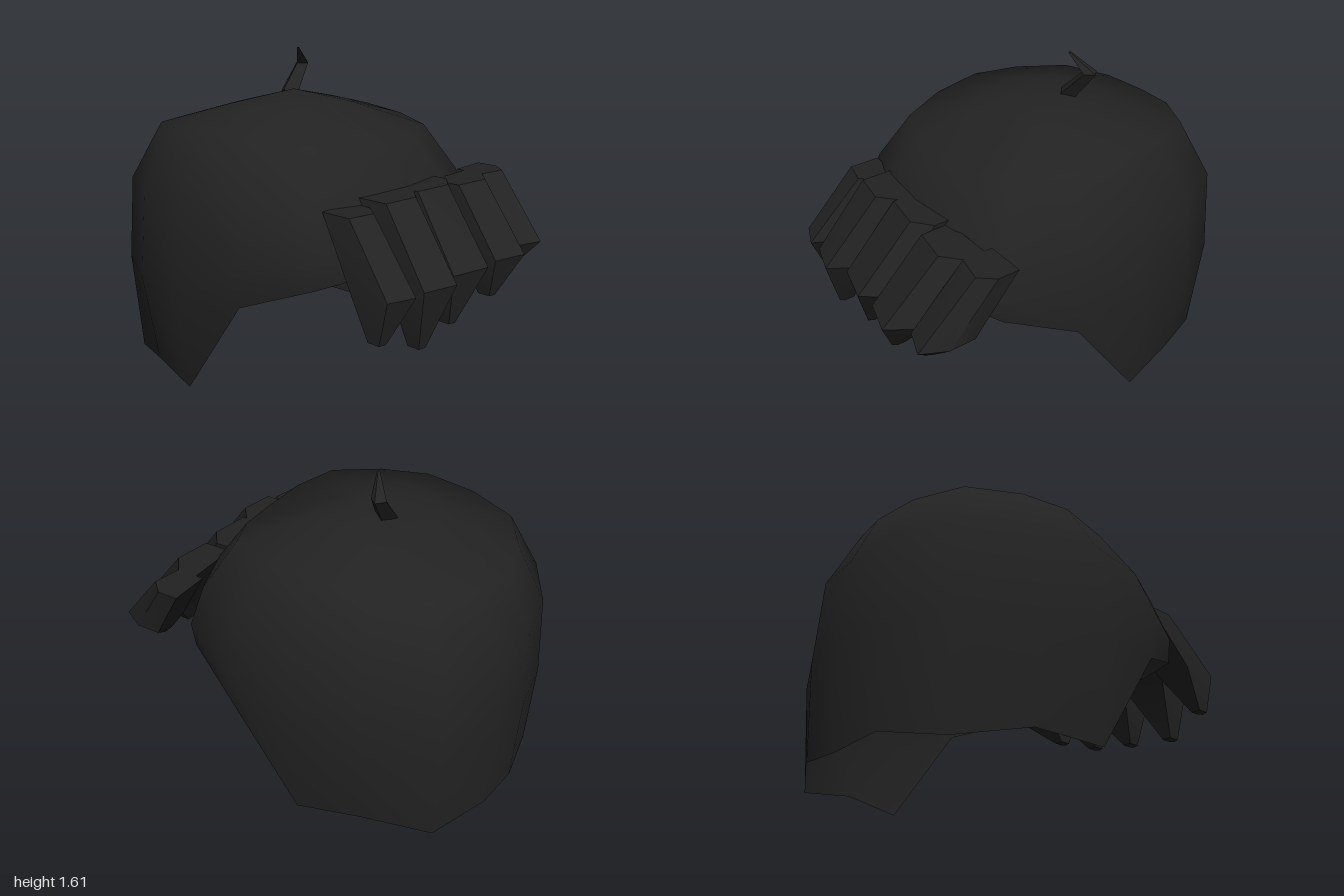
import * as THREE from 'three';
import { mergeVertices, toCreasedNormals } from 'three/addons/utils/BufferGeometryUtils.js';

// Joins closed rings of [x, y, z] points, listed top to bottom, counterclockwise from above
function loft(rings, capped) {
  const n = rings[0].length, index = [];
  for (let r = 0; r < rings.length - 1; r++) {
    for (let k = 0; k < n; k++) {
      const a = r * n + k, b = r * n + (k + 1) % n;
      index.push(a, a + n, b + n, a, b + n, b);
    }
  }
  if (capped) {
    const e = (rings.length - 1) * n;
    for (let k = 1; k < n - 1; k++) {
      index.push(0, k, k + 1, e, e + k + 1, e + k);
    }
  }
  const g = new THREE.BufferGeometry();
  g.setAttribute('position', new THREE.Float32BufferAttribute(rings.flat(2), 3));
  g.setIndex(index);
  return g;
}

// Mirrors a half outline, back to front, into a full ring
function mirrorRing(half) {
  const first = half.map(([x, y, z]) => [-x, y, z]);
  return [...first, ...half.slice(1, -1).reverse()];
}

export function createModel() {
  const hair = new THREE.MeshStandardMaterial({ color: 0x222222, side: THREE.DoubleSide });
  hair.name = 'black hair';
  const group = new THREE.Group();
  group.name = 'hair';
  const add = (name, geometry) => {
    const mesh = new THREE.Mesh(geometry, hair);
    mesh.name = name;
    group.add(mesh);
  };

  // Cap: widest outline and lower edge, from the back centre to the front centre
  const wide = [[0, 0.52, -1], [0.28, 0.52, -0.97], [0.57, 0.52, -0.83], [0.74, 0.52, -0.51],
    [0.8, 0.52, -0.16], [0.75, 0.72, 0.2], [0.6, 0.8, 0.53], [0.32, 0.85, 0.65], [0, 0.86, 0.69]];
  const hem = [[0, 0.02, -0.98], [0.27, 0.05, -0.95], [0.54, 0, -0.8], [0.68, 0.07, -0.48],
    [0.75, 0.04, -0.16], [0.74, 0.55, 0.2], [0.59, 0.67, 0.52], [0.32, 0.72, 0.67], [0, 0.73, 0.71]];
  const centre = -0.16;
  // Scaled copy of the widest outline; sizes and heights run back, side, front
  const scaled = (sizes, heights) => wide.map(([x, , z], k) => {
    const t = Math.abs(k - 4) / 4, end = k < 4 ? 0 : 2;
    const s = THREE.MathUtils.lerp(sizes[1], sizes[end], t);
    const y = THREE.MathUtils.lerp(heights[1], heights[end], t);
    return [x * s, y, centre + (z - centre) * s];
  });
  const capRings = [
    scaled([0, 0, 0], [1.42, 1.42, 1.42]),
    scaled([0.38, 0.36, 0.27], [1.33, 1.355, 1.36]),
    scaled([0.82, 0.73, 0.72], [1.21, 1.28, 1.2]),
    scaled([0.975, 0.95, 0.88], [0.92, 0.99, 1.03]),
    wide, hem,
  ].map(mirrorRing);
  const cap = mergeVertices(loft(capRings), 1e-4);
  cap.computeVertexNormals();
  add('hairCap', cap);

  // Fringe: [top left, top right, top y, middle left, middle right, tip x, tip y, z offset]
  const locks = [
    [-0.52, -0.33, 1.01, -0.57, -0.38, -0.53, 0.5, -0.04],
    [-0.32, -0.06, 1.04, -0.37, -0.12, -0.3, 0.42, 0],
    [-0.06, 0.23, 1.04, -0.12, 0.18, -0.04, 0.45, -0.02],
    [0.23, 0.5, 1.02, 0.18, 0.44, 0.25, 0.51, 0.01],
    [0.5, 0.7, 1.02, 0.45, 0.65, 0.48, 0.59, -0.03],
  ];
  const section = (l, r, y, front, back, bow) => [
    [r, y, back], [l, y, back], [l, y, front - bow],
    [l + (r - l) * 0.68, y, front], [r, y, front - bow * 2.4],
  ];
  for (const [tl, tr, ty, ml, mr, px, py, dz] of locks) {
    const lock = loft([
      section(tl, tr, ty, 0.72 + dz, 0.54 + dz, 0.03),
      section(ml, mr, 0.71, 0.99 + dz, 0.74 + dz, 0.05),
      section(px - 0.025, px + 0.025, py, 0.9 + dz, 0.83 + dz, 0.01),
    ], true);
    add('fringeLock', toCreasedNormals(lock, 0.7));
  }

  // Stray strand: root, bend and pointed tip
  const diamond = (x, y, z, w, d, slope) => [
    [x + w, y + slope, z], [x, y, z - d], [x - w, y - slope, z], [x, y, z + d],
  ];
  const strand = loft([
    diamond(0.11, 1.613, -0.232, 0.006, 0.008, 0),
    diamond(0.2, 1.525, -0.285, 0.04, 0.04, 0),
    diamond(0.075, 1.385, -0.26, 0.045, 0.06, -0.015),
  ], true);
  add('strayStrand', toCreasedNormals(strand, 0.7));

  return group;
}
